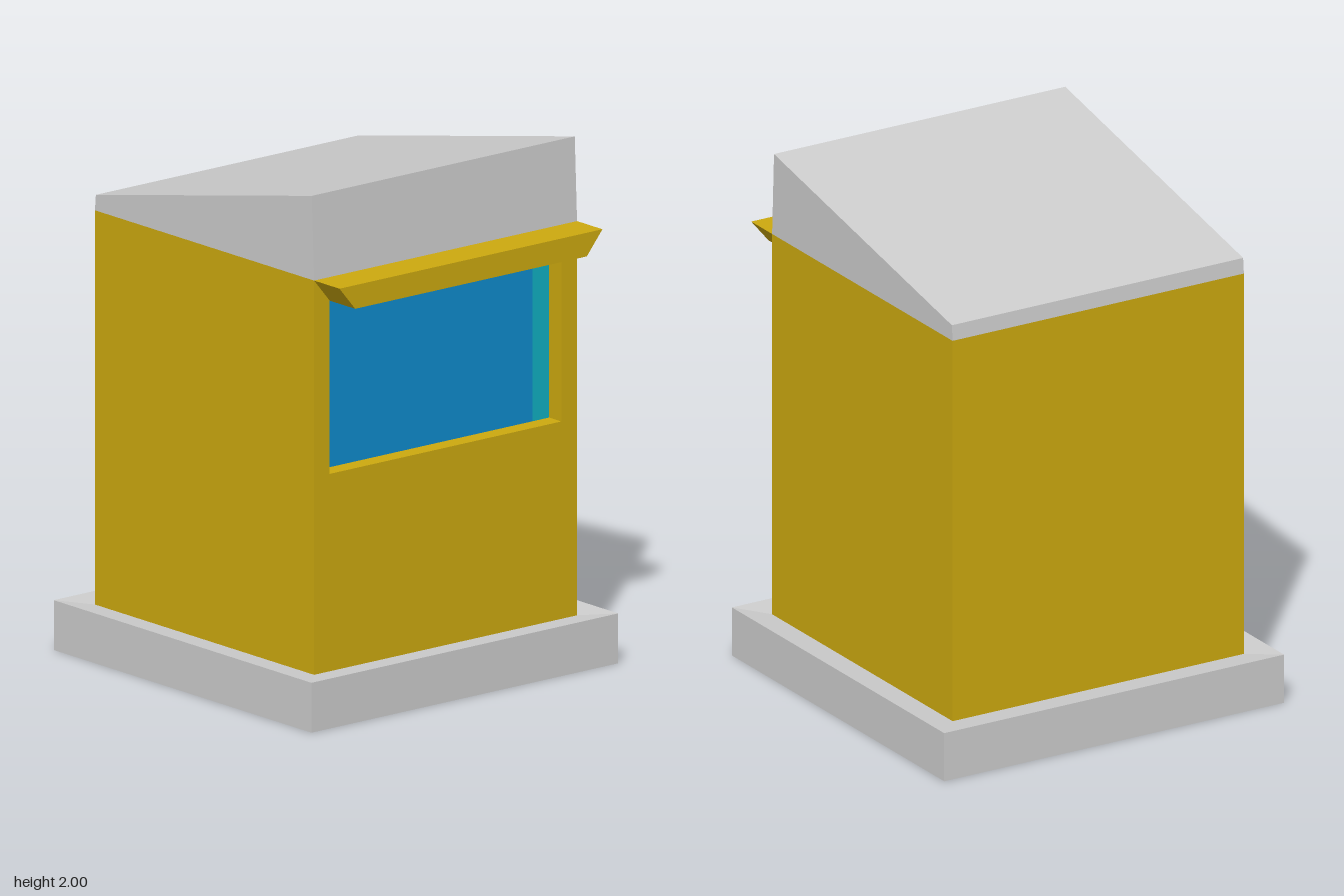
import * as THREE from 'three';

const material = (name, color) => {
  const m = new THREE.MeshStandardMaterial({ color });
  m.name = name;
  return m;
};

const polygon = (points) => new THREE.Shape(points.map(([x, y]) => new THREE.Vector2(x, y)));
const extrude = (shape, depth) => new THREE.ExtrudeGeometry(shape, { depth, bevelEnabled: false });

// Profile drawn in the z-y plane, extruded towards +x from x0
const extrudeAlongX = (shape, depth, x0) => extrude(shape, depth).rotateY(Math.PI / 2).translate(x0, 0, 0);

const boxBetween = ([x0, y0, z0], [x1, y1, z1]) =>
  new THREE.BoxGeometry(x1 - x0, y1 - y0, z1 - z0)
    .translate((x0 + x1) / 2, (y0 + y1) / 2, (z0 + z1) / 2);

// Flat-faced skin through stacked rectangles [xMin, xMax, zHalf, y]
function rectangleLoft(rings) {
  const corners = rings.map(([a, b, z, y]) => [[a, y, z], [b, y, z], [b, y, -z], [a, y, -z]]);
  const positions = [];
  for (let r = 0; r < rings.length - 1; r++) {
    for (let i = 0; i < 4; i++) {
      const j = (i + 1) % 4;
      const [p, q, s, t] = [corners[r][i], corners[r][j], corners[r + 1][j], corners[r + 1][i]];
      positions.push(...p, ...q, ...s, ...p, ...s, ...t);
    }
  }
  const geometry = new THREE.BufferGeometry();
  geometry.setAttribute('position', new THREE.Float32BufferAttribute(positions, 3));
  geometry.computeVertexNormals();
  return geometry;
}

export function createModel() {
  const yellow = material('yellow paint', 0xcca90f);
  const grey = material('light grey', 0xcccccc);
  const blue = material('blue glass', 0x0e8bcd);
  const teal = material('teal strip', 0x10b0c2);

  const model = new THREE.Group();
  model.name = 'kiosk';
  const add = (name, geometry, mat) => {
    const mesh = new THREE.Mesh(geometry, mat);
    mesh.name = name;
    model.add(mesh);
  };

  const back = -0.645, front = 0.605, half = 0.63;
  const eaves = 1.68, recess = front - 0.075;
  const winHalf = 0.555, sill = 0.93, lintel = 1.59;
  const ledge = 0.178;

  // Plinth: upright sides and a ledge falling slightly inwards
  add('plinth', rectangleLoft([
    [-0.755, 0.715, 0.735, 0],
    [-0.755, 0.715, 0.735, 0.19],
    [back, front, half, ledge],
  ]), grey);
  add('plinthUnderside',
    new THREE.PlaneGeometry(1.47, 1.47).rotateX(Math.PI / 2).translate(-0.02, 0, 0), yellow);

  // Booth body, with a window wall on the +x side
  add('body', boxBetween([back, ledge, -half], [recess, eaves, half]), yellow);
  const wall = polygon([[-half, ledge], [half, ledge], [half, eaves], [-half, eaves]]);
  wall.holes.push(polygon([[-winHalf, sill], [-winHalf, lintel], [winHalf, lintel], [winHalf, sill]]));
  add('windowWall', extrudeAlongX(wall, front - recess, recess), yellow);

  // Recessed window
  add('windowGlass', boxBetween([recess, sill, -0.475], [recess + 0.005, lintel, winHalf]), blue);
  add('windowStrip', boxBetween([recess, sill, -winHalf], [recess + 0.005, lintel, -0.475]), teal);

  // Canopy with ends tapering down to the window width
  const canopy = polygon([[-winHalf, lintel], [winHalf, lintel], [half, eaves], [-half, eaves]]);
  add('canopy', extrudeAlongX(canopy, 0.145, front), yellow);

  // Sloping roof
  const roof = polygon([[back, eaves], [front, eaves], [0.592, 2], [-0.64, 1.74]]);
  add('roof', extrude(roof, half * 2).translate(0, 0, -half), grey);

  return model;
}
